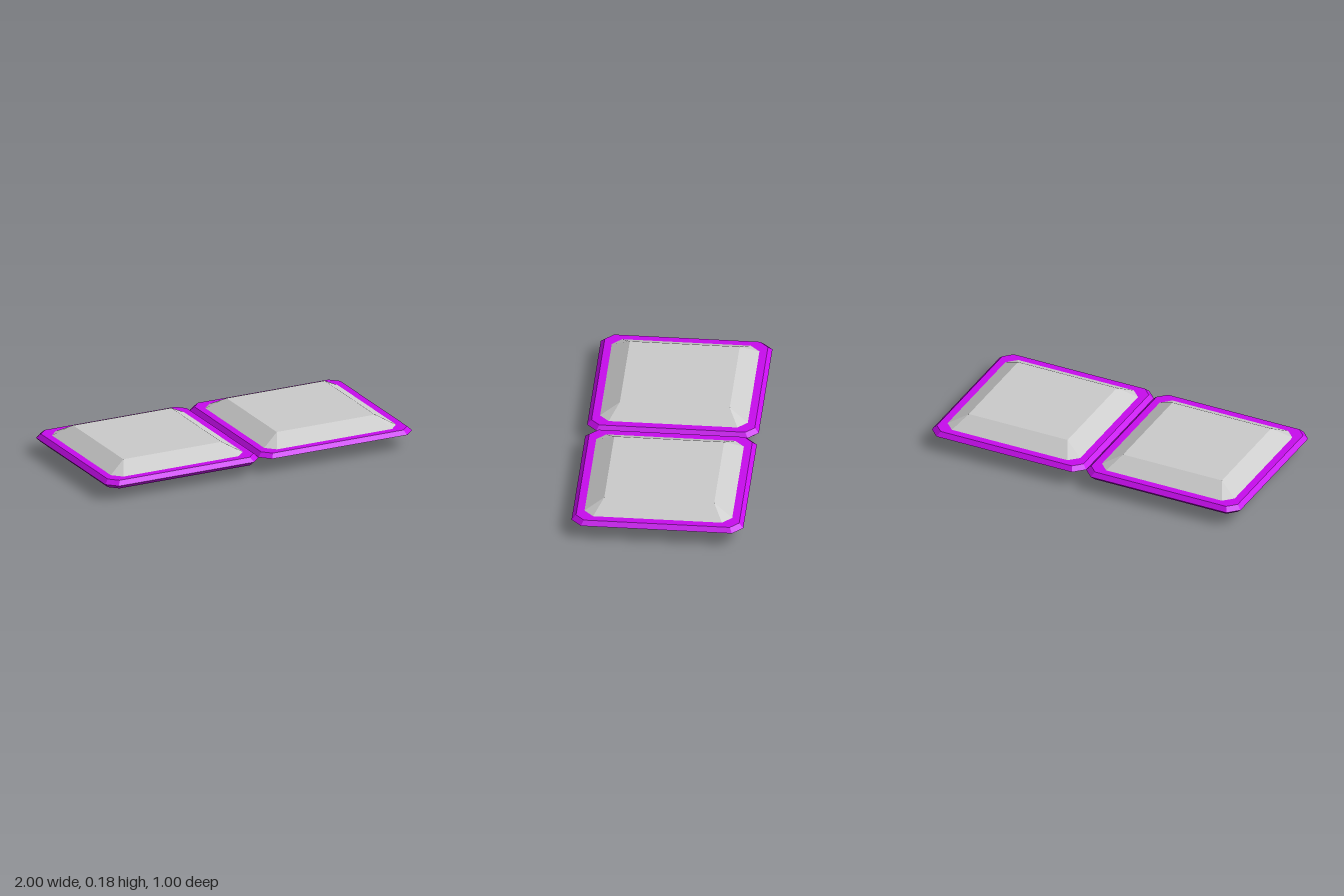
import * as THREE from 'three';

const MID = 0.09; // height of the widest edge, where the two shells meet

const frameMaterial = new THREE.MeshStandardMaterial({ color: 0xc80cee, flatShading: true, side: THREE.DoubleSide });
const panelMaterial = new THREE.MeshStandardMaterial({ color: 0xcccccc, flatShading: true, side: THREE.DoubleSide });

// Square loop with cut corners: half width h, corner cut c, height y
function octagon(h, c, y) {
  const k = h - c;
  return [[h, -k], [h, k], [k, h], [-k, h], [-h, k], [-h, -k], [-k, -h], [k, -h]]
    .map(([x, z]) => new THREE.Vector3(x, y, z));
}

// Skin a series of loops, optionally closing the last; flip reverses the winding
function loft(loops, cap, flip) {
  const pos = [];
  const tri = (a, b, c) => {
    if (new THREE.Triangle(a, b, c).getArea() < 1e-8) return;
    for (const p of flip ? [a, c, b] : [a, b, c]) pos.push(p.x, p.y, p.z);
  };
  for (let l = 0; l < loops.length - 1; l++) {
    const lo = loops[l], hi = loops[l + 1];
    for (let i = 0; i < 8; i++) {
      const j = (i + 1) % 8;
      tri(lo[i], hi[i], hi[j]);
      tri(lo[i], hi[j], lo[j]);
    }
  }
  if (cap) {
    const end = loops[loops.length - 1];
    for (let i = 1; i < 7; i++) tri(end[0], end[i + 1], end[i]);
  }
  const geometry = new THREE.BufferGeometry();
  geometry.setAttribute('position', new THREE.Float32BufferAttribute(pos, 3));
  geometry.computeVertexNormals();
  return geometry;
}

// One thin open shell: bevelled frame with a raised panel; dir is +1 up, -1 down
function makeShell(name, dir, panelHalf, panelHeight) {
  const shell = new THREE.Group();
  shell.name = name;
  const rim = MID + dir * 0.025;
  const inner = octagon(0.43, 0.055, rim);
  const frame = new THREE.Mesh(
    loft([octagon(0.5, 0.06, MID), octagon(0.475, 0.05, rim), inner], false, dir < 0), frameMaterial);
  frame.name = 'frame';
  const panel = new THREE.Mesh(
    loft([inner, octagon(panelHalf, 0, panelHeight)], true, dir < 0), panelMaterial);
  panel.name = 'panel';
  shell.add(frame, panel);
  return shell;
}

export function createModel() {
  const model = new THREE.Group();
  model.name = 'twinPanels';

  // Closed half: upper and lower shell
  const closedHalf = new THREE.Group();
  closedHalf.name = 'closedHalf';
  closedHalf.add(makeShell('upperShell', 1, 0.32, 0.177), makeShell('lowerShell', -1, 0.3, 0));
  closedHalf.position.x = -0.5;

  // Open half: upper shell only, hollow underneath
  const openHalf = new THREE.Group();
  openHalf.name = 'openHalf';
  openHalf.add(makeShell('upperShell', 1, 0.32, 0.177));
  openHalf.position.x = 0.5;

  model.add(closedHalf, openHalf);
  return model;
}
